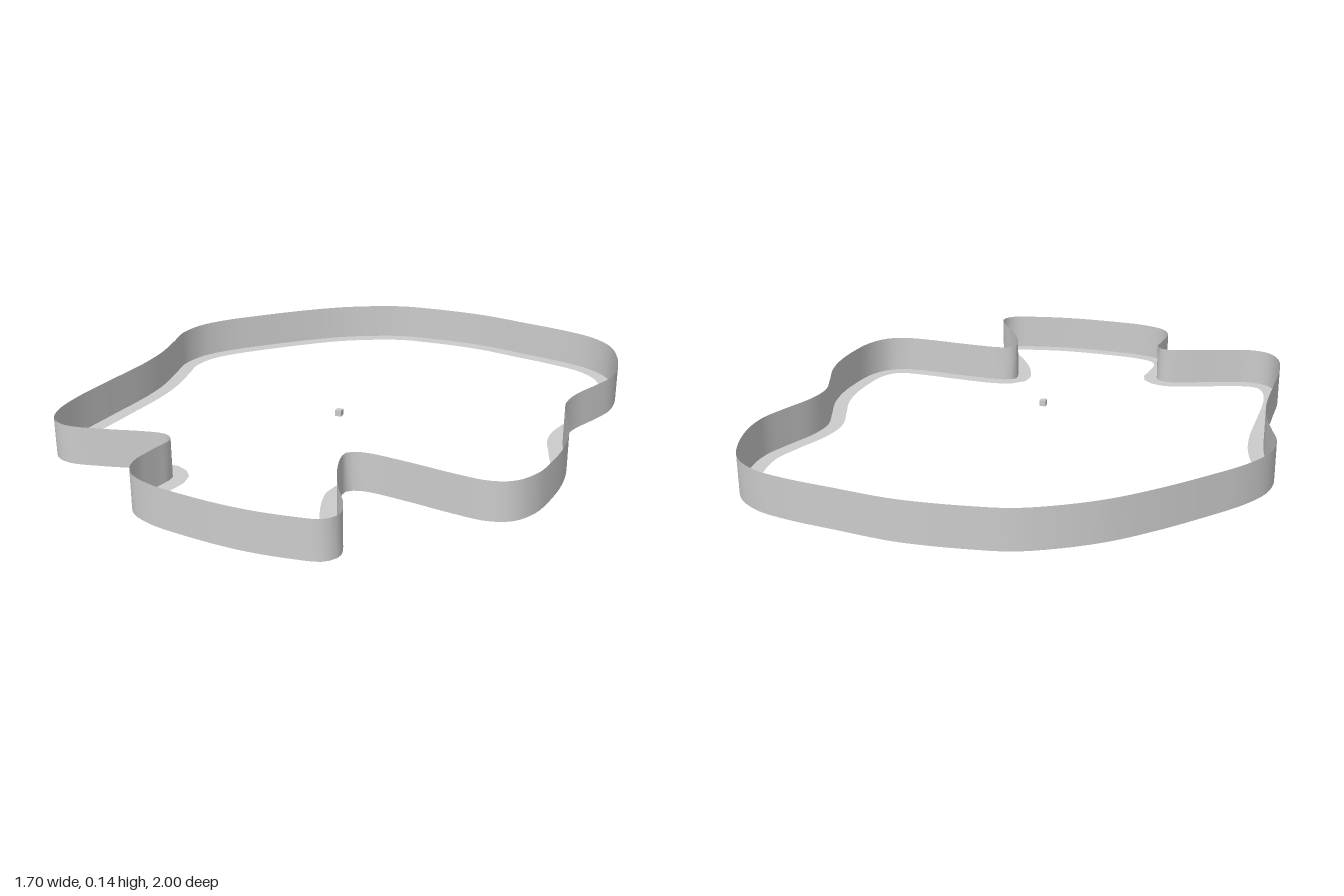
import * as THREE from 'three';

const HEIGHT = 0.135, FLANGE = 0.053, STEPS = 280;

// Plan of the wall as x, z pairs, starting at the back and running by way of +x
const PLAN = [
  [0.1, -1], [0.21, -0.995], [0.38, -0.965], [0.56, -0.93], [0.675, -0.89], [0.76, -0.82],
  [0.812, -0.715], [0.844, -0.58], [0.844, -0.475], [0.81, -0.37], [0.765, -0.25], [0.754, -0.15],
  [0.785, -0.04], [0.823, 0.08], [0.838, 0.2], [0.833, 0.32], [0.812, 0.435], [0.765, 0.51],
  [0.695, 0.54], [0.585, 0.535], [0.425, 0.513], [0.27, 0.503], [0.226, 0.525], [0.226, 0.57],
  [0.257, 0.667], [0.304, 0.762], [0.357, 0.847], [0.376, 0.915], [0.345, 0.96], [0.265, 0.98],
  [0.11, 0.995], [-0.077, 0.985], [-0.235, 0.958], [-0.315, 0.915], [-0.348, 0.847], [-0.341, 0.74],
  [-0.332, 0.655], [-0.37, 0.625], [-0.447, 0.635], [-0.58, 0.672], [-0.71, 0.695], [-0.775, 0.667],
  [-0.812, 0.593], [-0.823, 0.476], [-0.812, 0.29], [-0.797, 0.08], [-0.802, -0.05], [-0.828, -0.185],
  [-0.85, -0.29], [-0.833, -0.397], [-0.775, -0.497], [-0.66, -0.625], [-0.526, -0.757],
  [-0.405, -0.857], [-0.278, -0.931], [-0.156, -0.979], [-0.024, -0.995],
];

const material = new THREE.MeshStandardMaterial({ color: 0xcccccc, side: THREE.DoubleSide });

// Closed ribbon between two loops with the same number of points
function ribbon(name, a, b) {
  const n = a.length, index = [];
  for (let i = 0; i < n; i++) {
    const j = (i + 1) % n;
    index.push(i, n + i, j, j, n + i, n + j);
  }
  const geometry = new THREE.BufferGeometry().setFromPoints([...a, ...b]);
  geometry.setIndex(index);
  geometry.computeVertexNormals();
  const mesh = new THREE.Mesh(geometry, material);
  mesh.name = name;
  return mesh;
}

export function createModel() {
  const group = new THREE.Group();
  group.name = 'outlineCutter';

  const curve = new THREE.CatmullRomCurve3(
    PLAN.map(([x, z]) => new THREE.Vector3(x, 0, z)), true, 'centripetal');
  const bottom = [], top = [], inner = [];
  for (let i = 0; i < STEPS; i++) {
    const p = curve.getPointAt(i / STEPS), t = curve.getTangentAt(i / STEPS);
    bottom.push(p);
    top.push(new THREE.Vector3(p.x, HEIGHT, p.z));
    inner.push(new THREE.Vector3(p.x - t.z * FLANGE, 0, p.z + t.x * FLANGE));
  }

  // Thin upright wall, and the flat flange along the inside of its foot
  group.add(ribbon('wall', top, bottom));
  group.add(ribbon('flange', inner, bottom));

  // Tiny cube in the middle
  const cube = new THREE.Mesh(new THREE.BoxGeometry(0.022, 0.022, 0.022), material);
  cube.name = 'centreCube';
  cube.position.set(0.005, HEIGHT / 2, 0.083);
  group.add(cube);

  return group;
}
